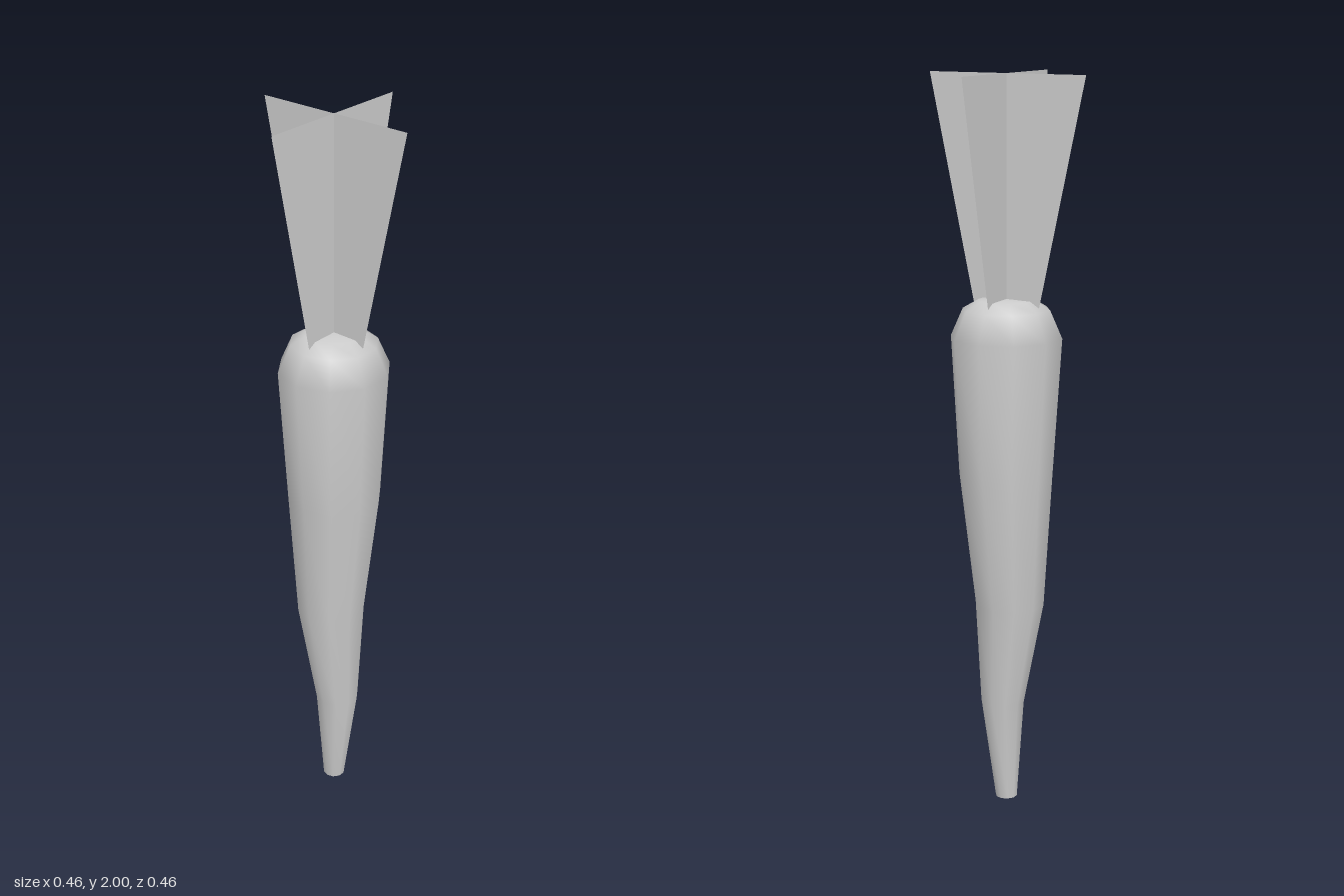
import * as THREE from 'three';
import { mergeVertices } from 'three/addons/utils/BufferGeometryUtils.js';

const SIDES = 10;

// Root rings from tip to crown: height, radius, sideways shift
const RINGS = [
  [0, 0.03, 0],
  [0.28, 0.06, 0.012],
  [0.57, 0.095, -0.01],
  [0.93, 0.128, 0.002],
  [1.31, 0.151, 0],
  [1.385, 0.118, 0],
  [1.41, 0.075, 0],
  [1.412, 0, 0],
];

function rootGeometry() {
  const profile = RINGS.map(([y, r]) => new THREE.Vector2(r, y));
  let geo = new THREE.LatheGeometry(profile, SIDES);
  // Shift each ring sideways for the crooked lower end
  const pos = geo.attributes.position;
  for (let i = 0; i < pos.count; i++) {
    pos.setX(i, pos.getX(i) + RINGS[i % RINGS.length][2]);
  }
  // Weld the seam and the pole so the shading is smooth all round
  geo.deleteAttribute('uv');
  geo.deleteAttribute('normal');
  geo = mergeVertices(geo, 1e-5);
  geo.computeVertexNormals();
  return geo;
}

export function createModel() {
  const group = new THREE.Group();
  const grey = new THREE.MeshStandardMaterial({ color: 0xcccccc });
  const thin = new THREE.MeshStandardMaterial({ color: 0xcccccc, side: THREE.DoubleSide });

  const root = new THREE.Mesh(rootGeometry(), grey);
  root.name = 'root';
  group.add(root);

  // Flat cut at the bottom of the root
  const tip = new THREE.Mesh(new THREE.CircleGeometry(RINGS[0][1], SIDES, Math.PI / 2), grey);
  tip.name = 'rootTip';
  tip.rotation.x = Math.PI / 2;
  group.add(tip);

  // Two crossed flaring leaf planes, sunk slightly into the crown
  const leafShape = new THREE.Shape([
    new THREE.Vector2(-0.093, 1.37),
    new THREE.Vector2(0.093, 1.37),
    new THREE.Vector2(0.23, 2),
    new THREE.Vector2(-0.23, 2),
  ]);
  const leafGeo = new THREE.ShapeGeometry(leafShape);
  for (let i = 0; i < 2; i++) {
    const leaf = new THREE.Mesh(leafGeo, thin);
    leaf.name = `leafPlane${i + 1}`;
    leaf.rotation.y = (i * Math.PI) / 2;
    group.add(leaf);
  }
  return group;
}
